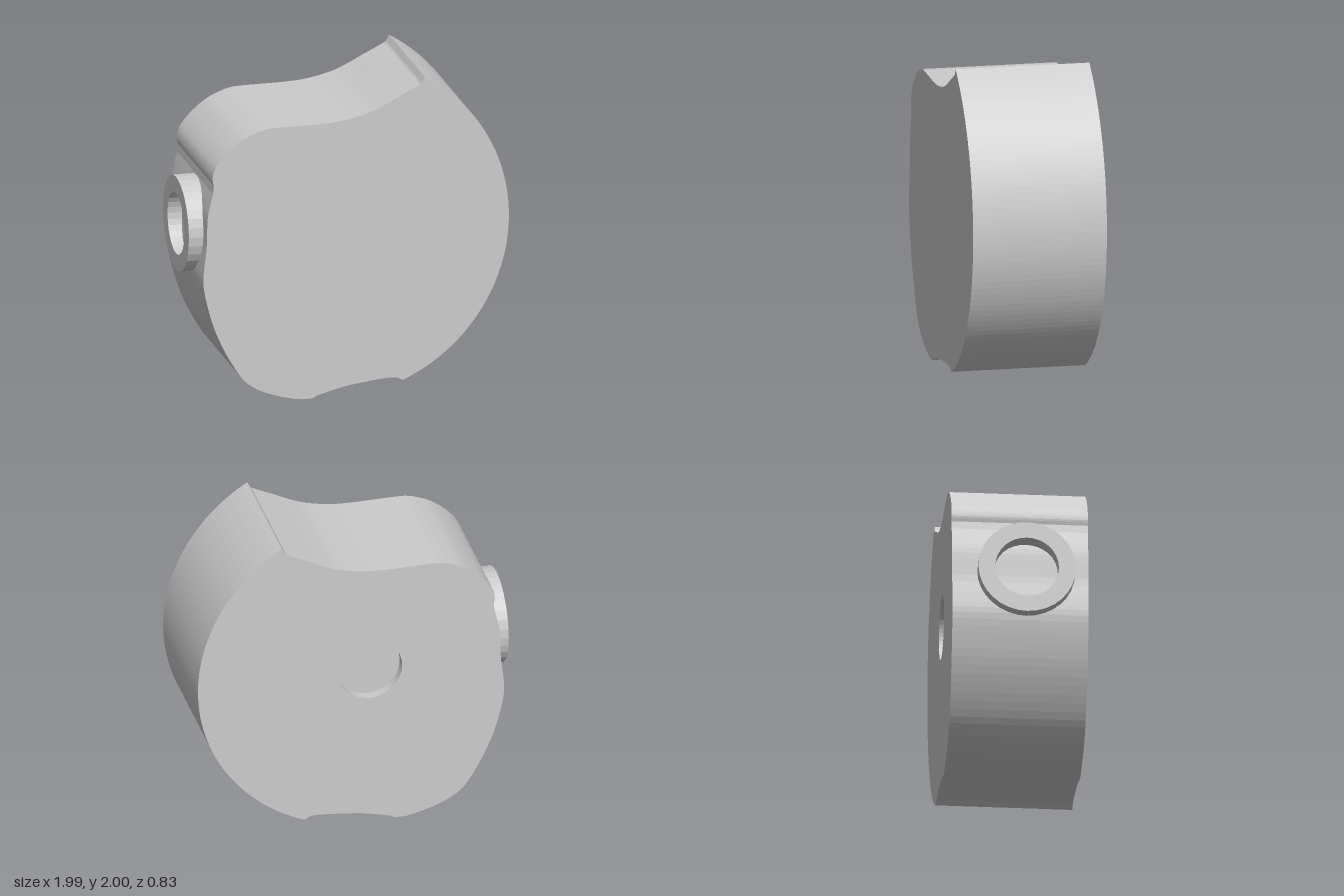
import * as THREE from 'three';

const CENTRE = new THREE.Vector2(-0.09, 1.07); // centre of the round side and of the rear recess
const HALF_DEPTH = 0.415;
const RECESS_DEPTH = 0.06;

// smooth run of outline points
function curve(points, count) {
  return new THREE.SplineCurve(points.map(([x, y]) => new THREE.Vector2(x, y))).getPoints(count);
}

function bodyOutline() {
  // round side, from the top tip down to the lower corner
  const start = Math.atan2(0.93, 0.555), end = Math.atan2(-1.0, 0.415);
  const arc = [];
  for (let i = 0; i <= 56; i++) {
    const a = start + (end - start) * i / 56;
    arc.push(new THREE.Vector2(CENTRE.x + 1.083 * Math.cos(a), CENTRE.y + 1.083 * Math.sin(a)));
  }
  // hollow along the bottom
  const bottom = curve([[0.305, 0.08], [0.28, 0.09], [0.2, 0.09], [0, 0.068], [-0.1, 0.048], [-0.19, 0.025], [-0.225, 0.015]], 20);
  // bulging lower corner and wavy side
  const side = curve([[-0.24, 0.003], [-0.32, 0.003], [-0.4, 0.02], [-0.5, 0.05], [-0.6, 0.095], [-0.68, 0.16], [-0.77, 0.3],
    [-0.85, 0.47], [-0.9, 0.63], [-0.93, 0.78], [-0.925, 0.9], [-0.91, 1.03], [-0.905, 1.2], [-0.89, 1.29], [-0.87, 1.37]], 48);
  // rounded shoulder and dip along the top
  const top = curve([[-0.865, 1.42], [-0.873, 1.46], [-0.86, 1.52], [-0.82, 1.58], [-0.76, 1.64], [-0.68, 1.7], [-0.6, 1.735],
    [-0.55, 1.75], [-0.48, 1.758], [-0.2, 1.758], [-0.05, 1.768], [0.1, 1.8], [0.2, 1.84], [0.3, 1.89], [0.435, 1.955]], 48);
  return [...arc, ...bottom, ...side, ...top, new THREE.Vector2(0.445, 1.965)];
}

export function createModel() {
  const group = new THREE.Group();
  const material = new THREE.MeshStandardMaterial({ color: 0xcccccc, flatShading: true });

  function add(name, geometry) {
    const mesh = new THREE.Mesh(geometry, material);
    mesh.name = name;
    group.add(mesh);
    return mesh;
  }
  function slab(name, shape, depth, z) {
    add(name, new THREE.ExtrudeGeometry(shape, { depth, bevelEnabled: false, curveSegments: 24 })).position.z = z;
  }

  // solid body, and the thin rear layer that carries the round recess
  const outline = bodyOutline();
  slab('body', new THREE.Shape(outline), 2 * HALF_DEPTH - RECESS_DEPTH, -HALF_DEPTH + RECESS_DEPTH);
  const rear = new THREE.Shape(outline);
  rear.holes.push(new THREE.Path().absarc(CENTRE.x, CENTRE.y, 0.2, 0, Math.PI * 2));
  slab('rearLayer', rear, RECESS_DEPTH, -HALF_DEPTH);

  // ring standing out of the wavy side, sunk a little into the body
  const ring = new THREE.Shape().absarc(0, 0, 0.297, 0, Math.PI * 2);
  ring.holes.push(new THREE.Path().absarc(0, 0, 0.194, 0, Math.PI * 2));
  const collar = add('sideRing', new THREE.ExtrudeGeometry(ring, { depth: 0.17, bevelEnabled: false, curveSegments: 16 }));
  collar.rotation.y = Math.PI / 2;
  collar.position.set(-1, 1.07, 0.035);

  return group;
}
